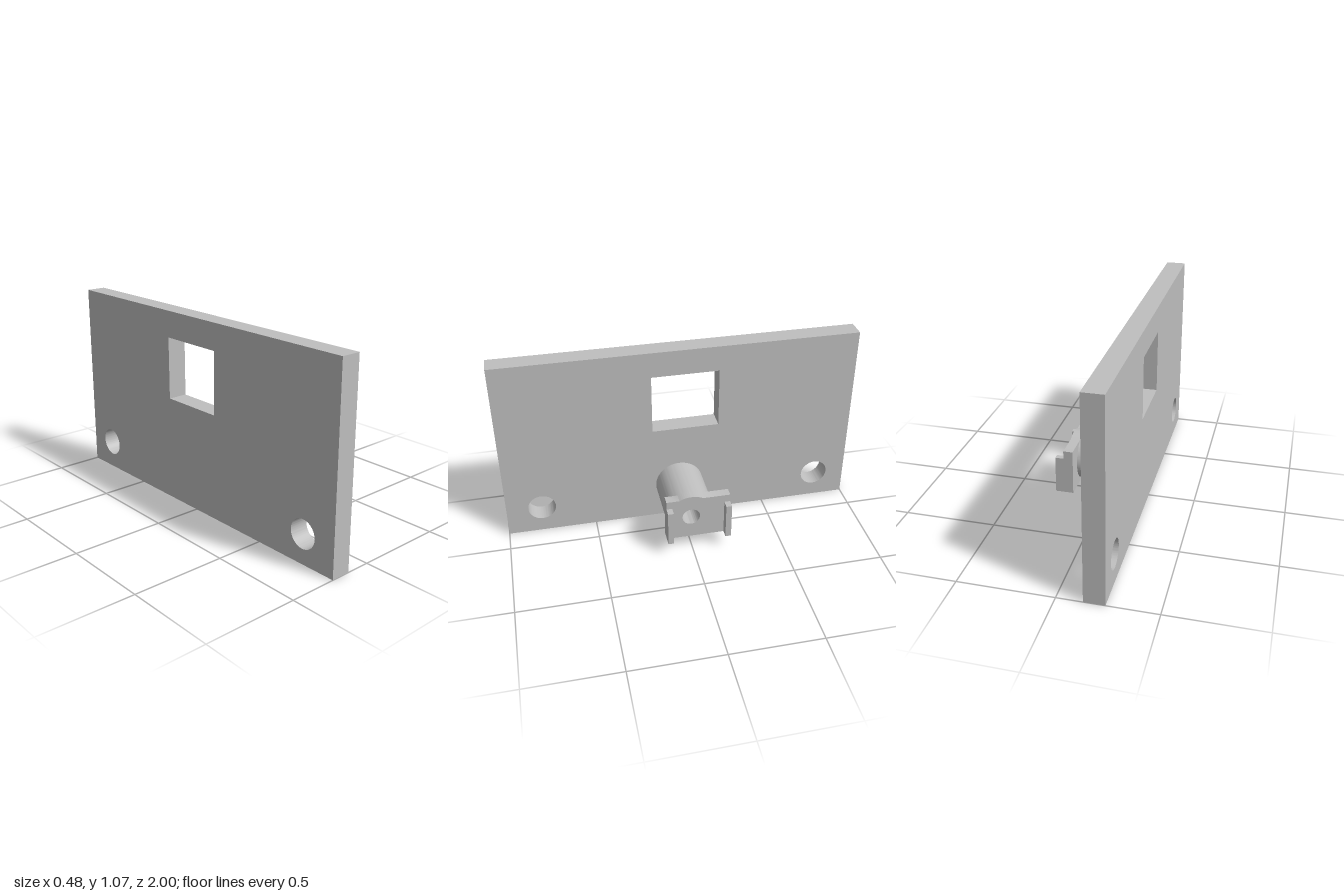
import * as THREE from 'three';
import { toCreasedNormals } from 'three/addons/utils/BufferGeometryUtils.js';

const grey = new THREE.MeshStandardMaterial({ color: 0xbfbfbf });
grey.name = 'grey';

// Profiles are drawn with u = -z and v = y, then extruded along x.
function extrudeX(name, shape, x0, x1) {
  let geometry = new THREE.ExtrudeGeometry(shape, { depth: x1 - x0, bevelEnabled: false, curveSegments: 48 });
  geometry = toCreasedNormals(geometry, 0.5);
  geometry.rotateY(Math.PI / 2).translate(x0, 0, 0);
  const mesh = new THREE.Mesh(geometry, grey);
  mesh.name = name;
  return mesh;
}

function rectangle(u0, v0, u1, v1, Type = THREE.Shape) {
  return new Type([[u0, v0], [u1, v0], [u1, v1], [u0, v1]].map(([u, v]) => new THREE.Vector2(u, v)));
}

function circle(u, v, r, Type = THREE.Path) {
  const path = new Type();
  path.absarc(u, v, r, 0, Math.PI * 2, false);
  return path;
}

export function createModel() {
  const model = new THREE.Group();
  model.name = 'mountingPlate';

  // Levels along x
  const back = -0.241, plateFront = -0.133, bracketBack = 0.141, bracketFront = 0.193, lipFront = 0.239;
  // Boss axis and radii
  const u = -0.006, v = 0.216, radius = 0.135, bore = 0.049;

  // Plate with window and two bolt holes
  const plate = rectangle(-1, 0, 1, 1.07);
  plate.holes.push(rectangle(-0.155, 0.584, 0.219, 0.925, THREE.Path));
  for (const hu of [-0.8, 0.816]) plate.holes.push(circle(hu, 0.16, 0.078));
  model.add(extrudeX('plate', plate, back, plateFront));

  // Bored cylindrical boss
  const boss = circle(u, v, radius, THREE.Shape);
  boss.holes.push(circle(u, v, bore));
  model.add(extrudeX('boss', boss, plateFront, bracketBack));

  // Bracket whose top edge follows the boss
  const left = -0.144, right = 0.211, bottom = 0.081, top = 0.334;
  const angle = Math.asin((top - v) / radius);
  const bracket = new THREE.Shape();
  bracket.moveTo(left, bottom);
  bracket.lineTo(right, bottom);
  bracket.lineTo(right, top);
  bracket.absarc(u, v, radius, angle, Math.PI - angle, false);
  bracket.lineTo(left, top);
  bracket.closePath();
  bracket.holes.push(circle(u, v, bore));
  model.add(extrudeX('bracket', bracket, bracketBack, bracketFront));

  // Side lips of the bracket
  model.add(extrudeX('leftLip', rectangle(left, bottom, left + 0.032, 0.289), bracketFront, lipFront));
  model.add(extrudeX('rightLip', rectangle(right - 0.032, bottom, right, 0.289), bracketFront, lipFront));

  return model;
}
